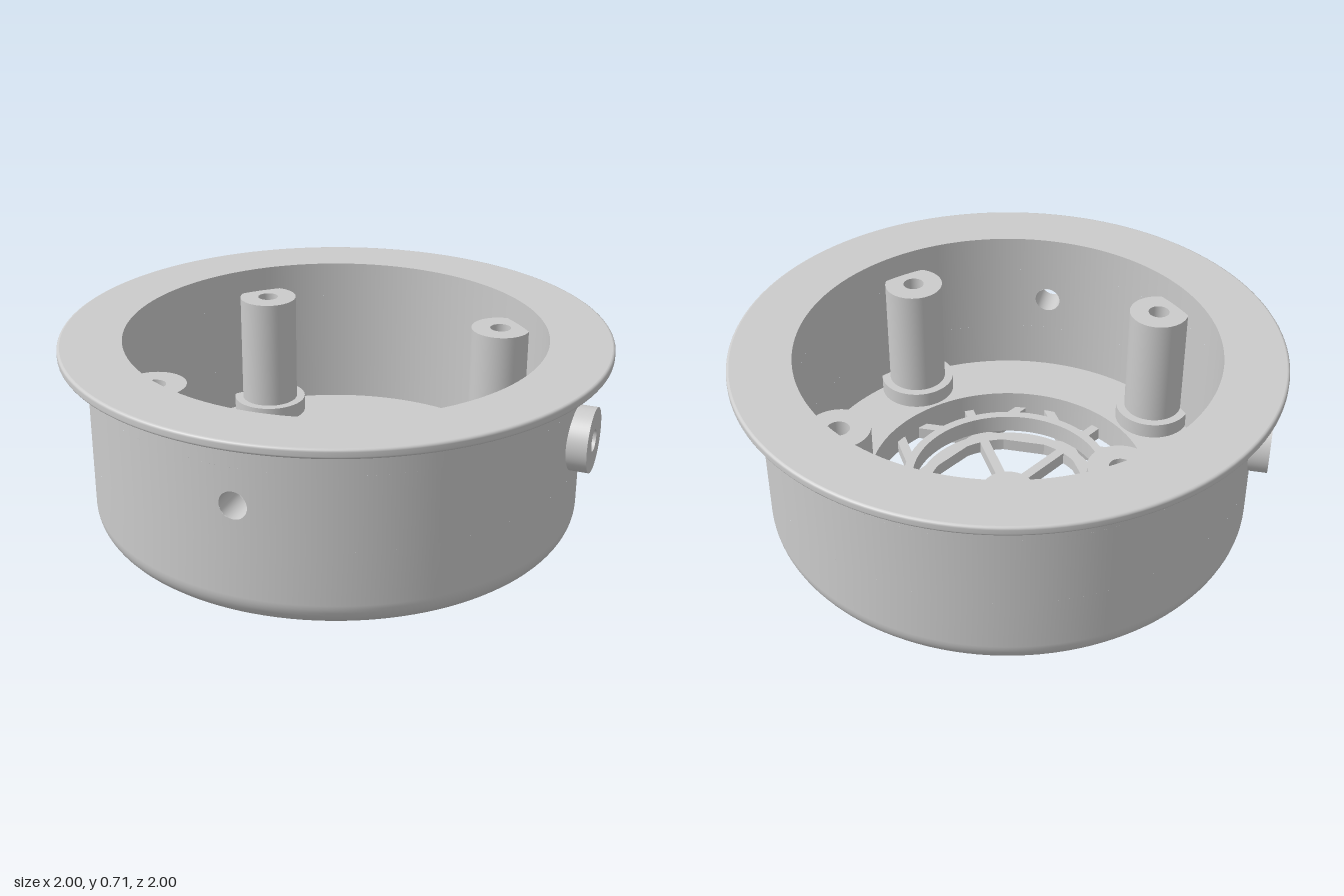
import * as THREE from 'three';
import { mergeGeometries } from 'three/addons/utils/BufferGeometryUtils.js';

const grey = new THREE.MeshStandardMaterial({ color: 0xcccccc });
const greyDouble = new THREE.MeshStandardMaterial({ color: 0xcccccc, side: THREE.DoubleSide });

const FLOOR = 0.12, TOP = 0.71, R_OUT = 0.9, R_IN = 0.77, R_VENT = 0.53;
const HOLE_Y = 0.435, HOLE_R = 0.05, GAP_ANGLE = 0.15, GAP_H = 0.135;
const GRILLE_T = 0.05;

// Revolve [r, y] points; optionally leave out the sector around the front hole
function lathe(points, segments = 128, gap = 0) {
  return new THREE.LatheGeometry(points.map(p => new THREE.Vector2(p[0], p[1])),
    segments, gap, Math.PI * 2 - gap * 2);
}

// Quarter-circle of profile points
function arc(cx, cy, r, from, to, n = 10) {
  return Array.from({ length: n + 1 }, (_, i) => {
    const a = from + (to - from) * i / n;
    return [cx + r * Math.cos(a), cy + r * Math.sin(a)];
  });
}

// Hollow cylinder with crisp edges
function ring(rOut, rIn, y0, y1, segments = 64) {
  const c = [[rIn, y0], [rOut, y0], [rOut, y1], [rIn, y1], [rIn, y0]];
  return mergeGeometries([0, 1, 2, 3].map(i => lathe([c[i], c[i + 1]], segments)));
}

// Curved wall patch with a round hole, filling the gap left at the front
function holePatch(r, inward) {
  const around = 64, rows = 6, pos = [], nor = [], uv = [], index = [];
  const sign = inward ? -1 : 1;
  for (let i = 0; i <= around; i++) {
    const a = i / around * Math.PI * 2, c = Math.cos(a), s = Math.sin(a);
    const m = Math.max(Math.abs(c), Math.abs(s));
    for (let j = 0; j <= rows; j++) {
      const t = j / rows;
      const u = THREE.MathUtils.lerp(HOLE_R * c, GAP_ANGLE * r * c / m, t) / r;
      const y = THREE.MathUtils.lerp(HOLE_R * s, GAP_H * s / m, t);
      pos.push(r * Math.sin(u), HOLE_Y + y, r * Math.cos(u));
      nor.push(sign * Math.sin(u), 0, sign * Math.cos(u));
      uv.push(i / around, t);
      if (i < around && j < rows) {
        const k = i * (rows + 1) + j, n = k + rows + 1;
        if (inward) index.push(k, n, k + 1, k + 1, n, n + 1);
        else index.push(k, k + 1, n, k + 1, n + 1, n);
      }
    }
  }
  const g = new THREE.BufferGeometry();
  g.setAttribute('position', new THREE.Float32BufferAttribute(pos, 3));
  g.setAttribute('normal', new THREE.Float32BufferAttribute(nor, 3));
  g.setAttribute('uv', new THREE.Float32BufferAttribute(uv, 2));
  g.setIndex(index);
  return g;
}

export function createModel() {
  const model = new THREE.Group();
  const add = (name, geometry, parent = model, material = grey) => {
    const mesh = new THREE.Mesh(geometry, material);
    mesh.name = name;
    parent.add(mesh);
    return mesh;
  };

  // Cup: floor with vent opening, rounded bottom edge, thick wall and flange
  const lo = HOLE_Y - GAP_H, hi = HOLE_Y + GAP_H, e = 0.01, under = 0.675;
  add('housing', mergeGeometries([
    lathe([[R_VENT, 0], [0.8, 0]]),
    lathe([...arc(0.8, 0.1, 0.1, -Math.PI / 2, 0), [R_OUT, lo]]),
    lathe([[R_OUT, lo], [R_OUT, hi]], 128, GAP_ANGLE),
    lathe([[R_OUT, hi], [R_OUT, under]]),
    lathe([[R_IN, hi], [R_IN, lo]], 128, GAP_ANGLE),
    lathe([[R_IN, TOP], [R_IN, hi]]),
    lathe([[R_IN, lo], [R_IN, FLOOR]]),
    lathe([[R_IN, FLOOR], [R_VENT, FLOOR]]),
    lathe([[R_VENT, FLOOR], [R_VENT, 0]]),
    holePatch(R_OUT, false),
    holePatch(R_IN, true),
  ]));
  add('flange', mergeGeometries([
    lathe([[R_OUT, under], [1 - e, under]]),
    lathe([...arc(1 - e, under + e, e, -Math.PI / 2, 0, 4),
      ...arc(1 - e, TOP - e, e, 0, Math.PI / 2, 4)]),
    lathe([[1 - e, TOP], [R_IN, TOP]]),
  ]));

  // Bore through the front wall
  const bore = new THREE.CylinderGeometry(HOLE_R, HOLE_R, R_OUT - R_IN, 64, 1, true);
  bore.rotateX(Math.PI / 2).translate(0, HOLE_Y, (R_OUT + R_IN) / 2 - 0.0015);
  add('frontHoleBore', bore, model, greyDouble);

  // Side bosses with blind holes
  for (const side of [1, -1]) {
    const boss = add(side > 0 ? 'leftBoss' : 'rightBoss', ring(0.117, 0.04, 0.86, 0.965));
    boss.rotation.z = -side * Math.PI / 2;
    boss.position.y = HOLE_Y;
  }

  // Four screw posts, each with a collar, merging into the wall
  for (const x of [0.487, -0.487]) for (const z of [0.487, -0.487]) {
    const post = new THREE.Group();
    post.name = 'screwPost';
    post.position.set(x, 0, z);
    add('post', ring(0.112, 0.04, FLOOR, 0.615), post);
    add('collar', ring(0.145, 0.11, FLOOR, 0.18), post);
    model.add(post);
  }

  // Vent grille: three sets of parallel bars, hub and rings
  const grille = new THREE.Group();
  grille.name = 'ventGrille';
  model.add(grille);
  for (let k = 0; k < 3; k++) for (const offset of [-0.315, 0, 0.315]) {
    const length = 2 * Math.sqrt(R_VENT * R_VENT - offset * offset) + 0.02;
    const bar = new THREE.BoxGeometry(length, GRILLE_T, 0.037);
    bar.translate(0, GRILLE_T / 2, offset).rotateY(k * Math.PI / 3);
    add('grilleBar', bar, grille);
  }
  add('grilleHub', new THREE.CylinderGeometry(0.1, 0.1, GRILLE_T, 48)
    .translate(0, GRILLE_T / 2, 0), grille);
  add('grilleRing', ring(0.353, 0.308, 0, GRILLE_T, 96), grille);
  add('raisedRing', ring(0.4, 0.366, GRILLE_T, FLOOR, 96), grille);

  return model;
}
